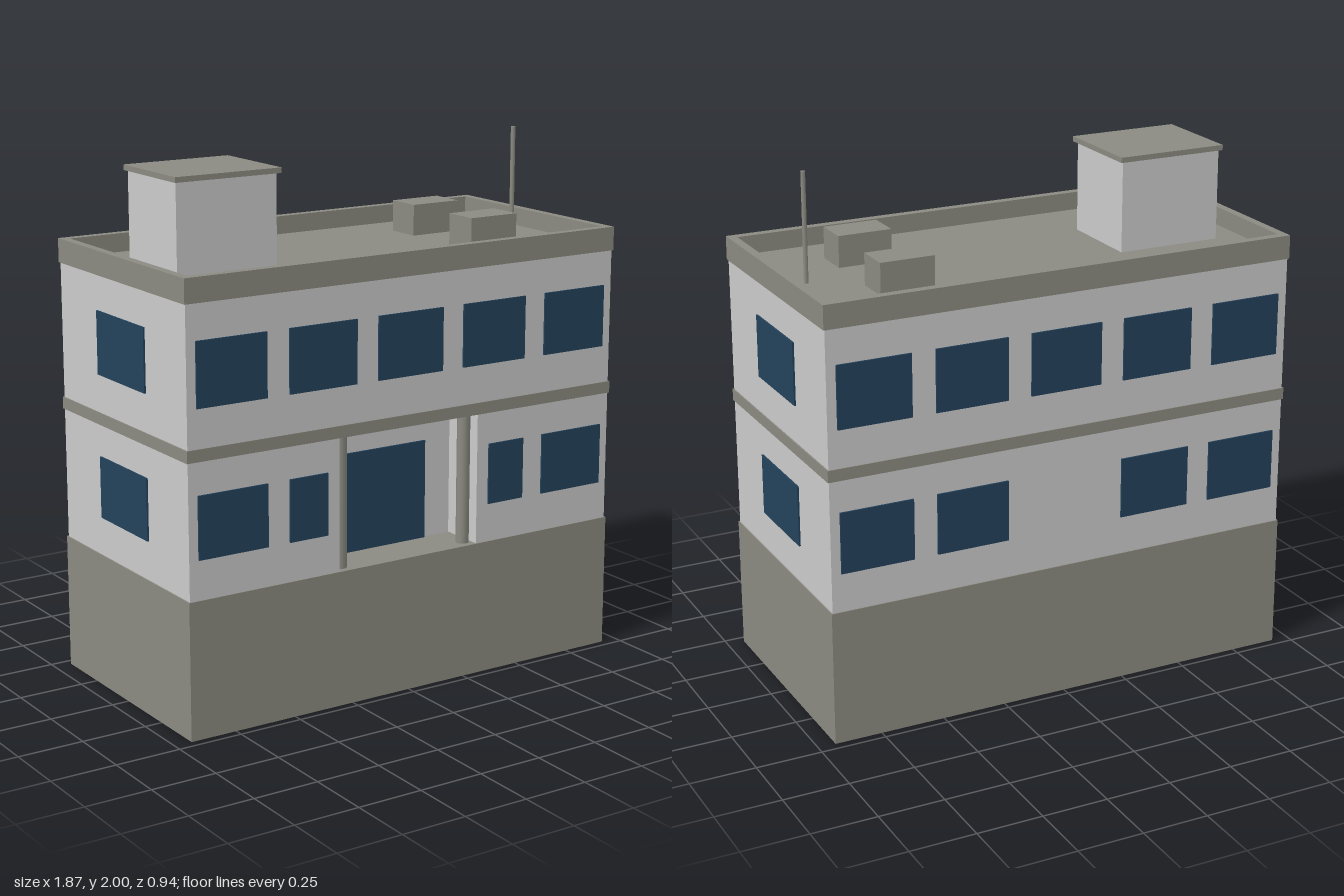
import * as THREE from 'three';

const paleWall = new THREE.MeshStandardMaterial({ color: 0xcbcbcb });
paleWall.name = 'pale wall';
const stoneGrey = new THREE.MeshStandardMaterial({ color: 0x8b8b82 });
stoneGrey.name = 'stone grey';
const glassBlue = new THREE.MeshStandardMaterial({ color: 0x23425b });
glassBlue.name = 'glass blue';

// Half sizes of the trim (base, bands) and of the slightly inset walls
const TX = 0.933, TZ = 0.467, WX = 0.928, WZ = 0.462;
const BASE = 0.515, BAND = 1.015, BAND_TOP = 1.06, ROOF = 1.59;

export function createModel() {
  const model = new THREE.Group();
  model.name = 'building';

  const add = (name, geometry, material, x, y, z) => {
    const mesh = new THREE.Mesh(geometry, material);
    mesh.name = name;
    mesh.position.set(x, y, z);
    model.add(mesh);
    return mesh;
  };
  // Box given by its centre in x and z and its bottom and top heights
  const block = (name, material, w, d, y0, y1, x = 0, z = 0) =>
    add(name, new THREE.BoxGeometry(w, y1 - y0, d), material, x, (y0 + y1) / 2, z);
  // Footprint (x, -z) extruded upwards
  const raise = (name, material, shape, y0, y1) => {
    const g = new THREE.ExtrudeGeometry(shape, { depth: y1 - y0, bevelEnabled: false });
    g.rotateX(-Math.PI / 2);
    return add(name, g, material, 0, y0, 0);
  };
  const rectangle = (hx, hz) => [[-hx, -hz], [hx, -hz], [hx, hz], [-hx, hz]]
    .map(([x, y]) => new THREE.Vector2(x, y));

  // Base and storeys; the ground floor has an entrance recess in the front
  block('base', stoneGrey, TX * 2, TZ * 2, 0, BASE);
  const recessX = 0.307, recessZ = 0.285;
  const footprint = new THREE.Shape([
    [-WX, -WZ], [-recessX, -WZ], [-recessX, -recessZ], [recessX, -recessZ],
    [recessX, -WZ], [WX, -WZ], [WX, WZ], [-WX, WZ],
  ].map(([x, y]) => new THREE.Vector2(x, y)));
  raise('groundFloorWalls', paleWall, footprint, BASE, BAND);
  block('floorBand', stoneGrey, TX * 2, TZ * 2, BAND, BAND_TOP);
  block('upperFloorWalls', paleWall, WX * 2, WZ * 2, BAND_TOP, 1.57);

  // Roof and parapet
  block('roof', stoneGrey, 1.82, 0.88, 1.57, ROOF);
  const ring = new THREE.Shape(rectangle(TX, TZ));
  ring.holes.push(new THREE.Path(rectangle(0.9, 0.433).reverse()));
  raise('parapet', stoneGrey, ring, 1.57, 1.66);

  // Entrance: door and two columns
  block('door', glassBlue, 0.38, 0.009, BASE, 0.895, 0, recessZ + 0.0035);
  for (const side of [-1, 1]) {
    add('column', new THREE.CylinderGeometry(0.025, 0.025, BAND - BASE, 12),
      stoneGrey, side * 0.275, (BASE + BAND) / 2, 0.418);
  }

  // Windows
  const LOW = [0.662, 0.895], HIGH = [1.203, 1.44], PLATE = 0.009;
  const zWindow = (x, face, [y0, y1], w = 0.283) =>
    block('window', glassBlue, w, PLATE, y0, y1, x, face * (WZ + 0.002));
  for (const x of [-0.75, -0.375, 0, 0.375, 0.75]) {
    zWindow(x, 1, HIGH);
    zWindow(x, -1, HIGH);
    if (x !== 0) zWindow(x, -1, LOW);
  }
  for (const side of [-1, 1]) {
    zWindow(side * 0.75, 1, LOW);
    zWindow(side * 0.438, 1, LOW, 0.16);
    for (const [y0, y1] of [LOW, HIGH]) {
      block('sideWindow', glassBlue, PLATE, 0.35, y0, y1, side * (WX + 0.002), 0);
    }
  }

  // Rooftop stair house, vents and antenna
  block('stairHouse', paleWall, 0.41, 0.346, ROOF, 1.935, -0.589, 0);
  block('stairHouseRoof', stoneGrey, 0.433, 0.374, 1.935, 1.955, -0.587, 0);
  for (const side of [-1, 1]) {
    block('roofVent', stoneGrey, 0.21, 0.14, ROOF, 1.71, 0.524, side * 0.187);
  }
  add('antenna', new THREE.CylinderGeometry(0.009, 0.009, 2 - ROOF, 8),
    stoneGrey, 0.805, (2 + ROOF) / 2, 0);

  return model;
}
